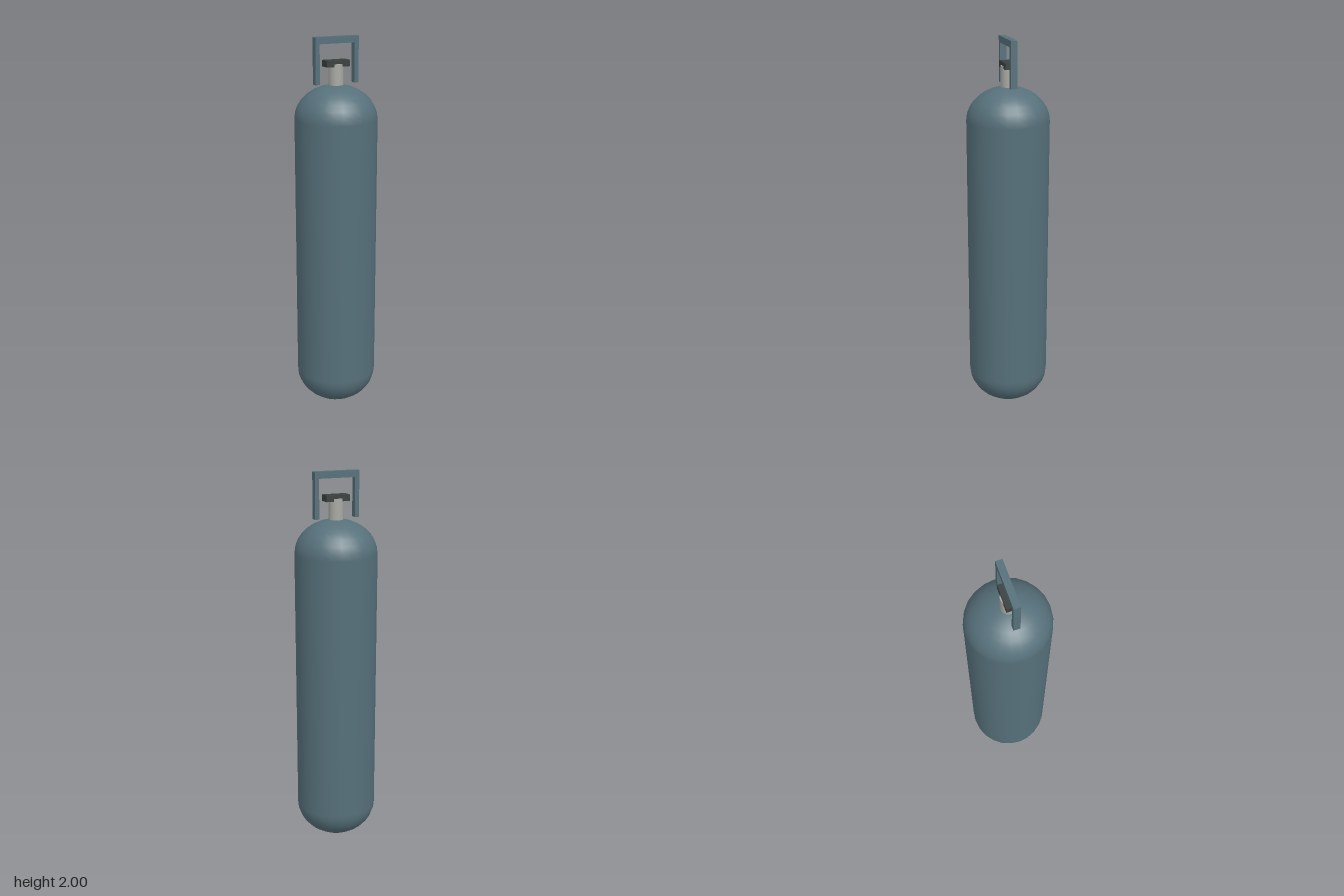
import * as THREE from 'three';

const paint = new THREE.MeshStandardMaterial({ color: 0x56707a });
const metal = new THREE.MeshStandardMaterial({ color: 0xa9aaa5 });
const dark = new THREE.MeshStandardMaterial({ color: 0x3a403f });

export function createModel() {
  const model = new THREE.Group();
  model.name = 'gasCylinder';

  const add = (name, geometry, material, x, y, z) => {
    const mesh = new THREE.Mesh(geometry, material);
    mesh.name = name;
    mesh.position.set(x, y, z);
    model.add(mesh);
    return mesh;
  };

  // Tank: straight wall between two slightly flattened domes
  const radius = 0.214, dome = 0.176, low = 0.181, high = 1.585, steps = 8;
  const profile = [];
  for (let i = 0; i <= steps; i++) {
    const a = (i / steps) * Math.PI / 2;
    profile.push(new THREE.Vector2(radius * Math.sin(a), low - (dome + 0.005) * Math.cos(a)));
  }
  for (let i = 0; i <= steps; i++) {
    const a = (i / steps) * Math.PI / 2;
    profile.push(new THREE.Vector2(radius * Math.cos(a), high + dome * Math.sin(a)));
  }
  profile[0].x = profile[profile.length - 1].x = 0;
  add('tank', new THREE.LatheGeometry(profile, 24), paint, 0, 0, 0);

  // Valve stem and its flat handle
  add('valveStem', new THREE.CylinderGeometry(0.038, 0.038, 0.125, 16), metal, 0, 1.8025, 0);
  add('valveHandle', new THREE.BoxGeometry(0.127, 0.032, 0.06), dark, 0, 1.867, 0);

  // Carrying guard: two posts and a crossbar
  for (const side of [-1, 1]) {
    add(side > 0 ? 'leftGuardPost' : 'rightGuardPost',
      new THREE.BoxGeometry(0.023, 0.235, 0.034), paint, side * 0.109, 1.8825, 0);
  }
  add('guardCrossbar', new THREE.BoxGeometry(0.241, 0.034, 0.034), paint, 0, 1.983, 0);

  return model;
}
